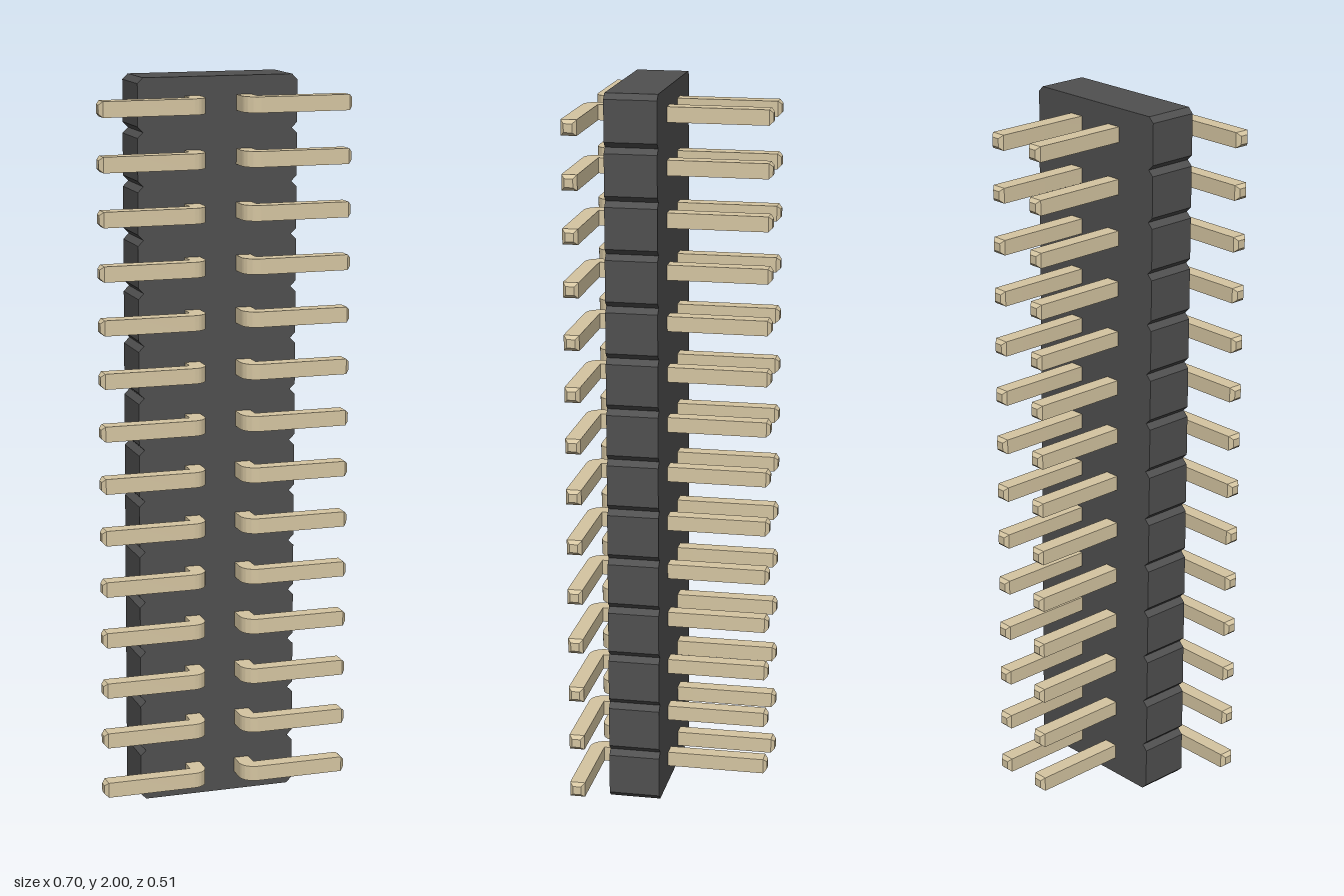
import * as THREE from 'three';
import { mergeGeometries, toCreasedNormals } from 'three/addons/utils/BufferGeometryUtils.js';

const ROWS = 14, PITCH = 2 / ROWS;
const HALF_W = 0.222, CHAMFER = 0.015;          // housing outline
const BACK = 0.027, FRONT = 0.17;               // housing depth range
const PIN = 0.042, PIN_X = 0.051;               // pin thickness, inner face
const TIP = 0.01, REACH = 0.349, Z_BACK = -0.258, Z_FRONT = 0.256;

// Strip of chamfered cells, notched along both sides
function housingGeometry() {
  const right = [];
  for (let i = 0; i < ROWS; i++) {
    const y0 = i * PITCH, y1 = y0 + PITCH;
    right.push([HALF_W - CHAMFER, y0], [HALF_W, y0 + CHAMFER], [HALF_W, y1 - CHAMFER]);
  }
  right.push([HALF_W - CHAMFER, 2]);
  const left = right.map(([x, y]) => [-x, y]).reverse();
  const shape = new THREE.Shape([...right, ...left].map(([x, y]) => new THREE.Vector2(x, y)));
  const geo = new THREE.ExtrudeGeometry(shape, { depth: FRONT - BACK, bevelEnabled: false });
  return geo.translate(0, 0, BACK);
}

// Square frustum pointing along +y, base at the origin
function tipGeometry() {
  const r = PIN / Math.SQRT2;
  return new THREE.CylinderGeometry(r * 0.55, r, TIP, 4, 1)
    .rotateY(Math.PI / 4).translate(0, TIP / 2, 0).toNonIndexed();
}

// Right-angle pin: straight leg to the back, rounded outer bend, foot to +x
function pinGeometry() {
  const x0 = PIN_X, x1 = PIN_X + PIN, z0 = Z_FRONT - PIN;
  const s = new THREE.Shape();
  s.moveTo(x0, Z_BACK + TIP);
  s.lineTo(x1, Z_BACK + TIP);
  s.lineTo(x1, z0);
  s.lineTo(REACH - TIP, z0);
  s.lineTo(REACH - TIP, Z_FRONT);
  s.lineTo(x1, Z_FRONT);
  s.absarc(x1, z0, PIN, Math.PI / 2, Math.PI, false);
  s.closePath();
  const bar = new THREE.ExtrudeGeometry(s, { depth: PIN, bevelEnabled: false, curveSegments: 8 })
    .translate(0, 0, -PIN / 2).rotateX(Math.PI / 2);
  const backTip = tipGeometry().rotateX(-Math.PI / 2).translate(x0 + PIN / 2, 0, Z_BACK + TIP);
  const footTip = tipGeometry().rotateZ(-Math.PI / 2).translate(REACH - TIP, 0, z0 + PIN / 2);
  return toCreasedNormals(mergeGeometries([bar, backTip, footTip]), 0.5);
}

export function createModel() {
  const model = new THREE.Group();
  model.name = 'pinHeader';
  const plastic = new THREE.MeshStandardMaterial({ color: 0x505050 });
  const metal = new THREE.MeshStandardMaterial({ color: 0xd6c6a2 });

  const housing = new THREE.Mesh(housingGeometry(), plastic);
  housing.name = 'housing';
  model.add(housing);

  // Two mirrored columns of pins
  const pinGeo = pinGeometry();
  for (const side of ['left', 'right']) {
    const column = new THREE.Group();
    column.name = side + 'Pins';
    for (let i = 0; i < ROWS; i++) {
      const pin = new THREE.Mesh(pinGeo, metal);
      pin.name = side + 'Pin' + (i + 1);
      pin.position.y = (i + 0.5) * PITCH;
      if (side === 'right') pin.rotation.z = Math.PI;
      column.add(pin);
    }
    model.add(column);
  }
  return model;
}
